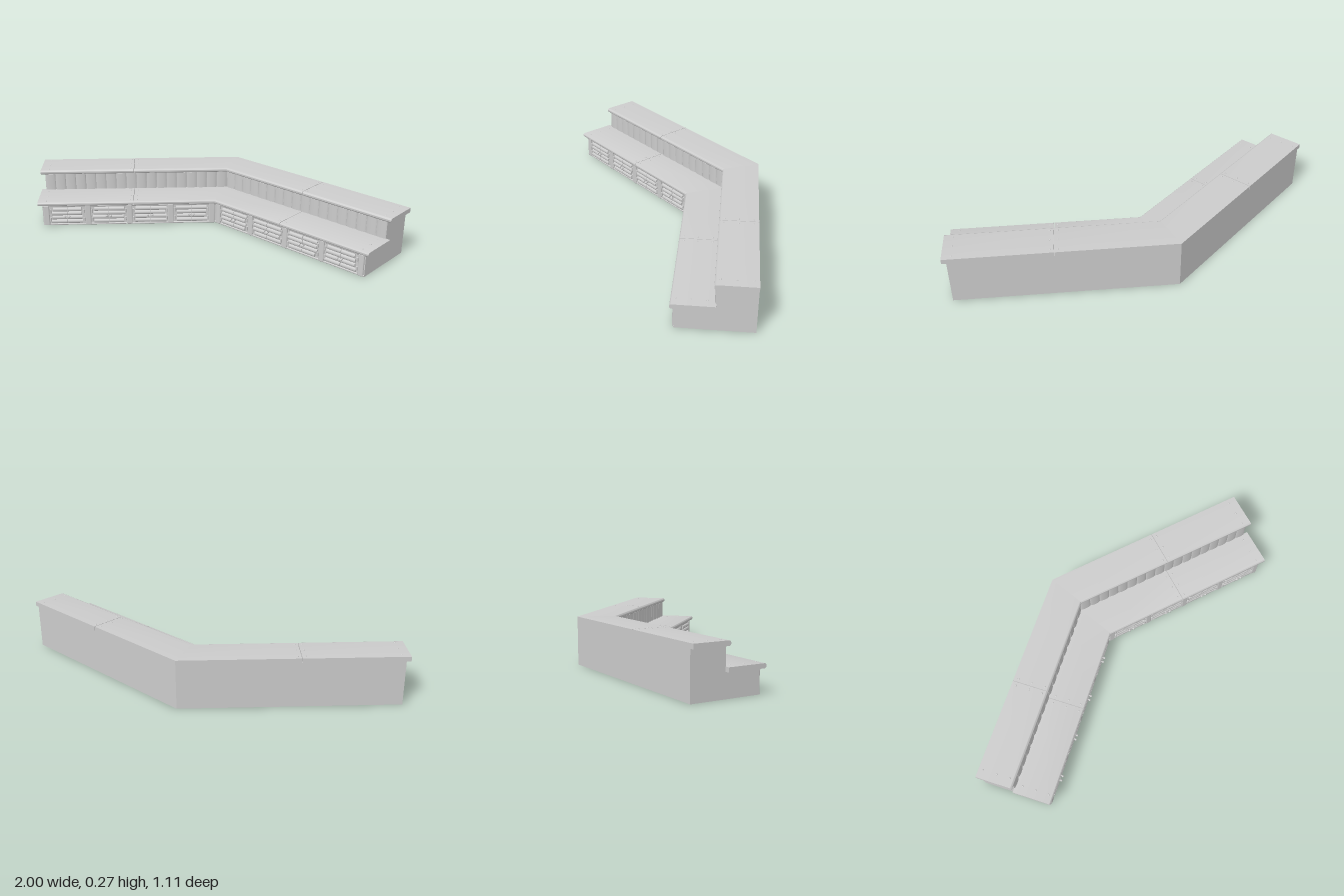
import * as THREE from 'three';
import { toCreasedNormals } from 'three/addons/utils/BufferGeometryUtils.js';
import { RoundedBoxGeometry } from 'three/addons/geometries/RoundedBoxGeometry.js';

const MITER = Math.tan(Math.PI / 8); // two wings meet at 135 degrees
const WING_LENGTH = 1.172, BODY_LENGTH = 1.148, SEAM = 0.627;
const mat = new THREE.MeshStandardMaterial({ color: 0xcccccc });

function seeded(seed) {
  return () => (seed = (seed * 16807) % 2147483647) / 2147483647;
}

// Sweeps a (depth, height) section along a wing; a null start is cut to the corner miter
function sweep(shape, sign, start, end) {
  const geo = new THREE.ExtrudeGeometry(shape, { depth: 1, bevelEnabled: false, curveSegments: 5 });
  const p = geo.attributes.position;
  for (let i = 0; i < p.count; i++) {
    const d = p.getX(i), y = p.getY(i);
    const t = sign > 0 ? 1 - p.getZ(i) : p.getZ(i);
    const a = start === null ? d * MITER : start;
    p.setXYZ(i, sign * (a + (end - a) * t), y, d);
  }
  return toCreasedNormals(geo, 0.7);
}

// Slab section with a rounded front edge
function slabShape(back, front, bottom, top) {
  const r = (top - bottom) * 0.45, s = new THREE.Shape();
  s.moveTo(back, bottom);
  s.lineTo(front - r, bottom);
  s.absarc(front - r, bottom + r, r, -Math.PI / 2, 0, false);
  s.absarc(front - r, top - r, r, 0, Math.PI / 2, false);
  s.lineTo(back, top);
  s.closePath();
  return s;
}

function bodyShape() {
  const pts = [[0, 0], [0.374, 0], [0.374, 0.125], [0.188, 0.125], [0.188, 0.245], [0, 0.245]];
  return new THREE.Shape(pts.map(([d, y]) => new THREE.Vector2(d, y)));
}

const round = new THREE.CylinderGeometry(1, 1, 1, 14);
const log = round.clone().rotateZ(Math.PI / 2);
const ball = new THREE.SphereGeometry(1, 12, 8);

function add(parent, name, geo, x, y, z, sx = 1, sy = 1, sz = 1) {
  const m = new THREE.Mesh(geo, mat);
  m.name = name;
  m.position.set(x, y, z);
  m.scale.set(sx, sy, sz);
  parent.add(m);
  return m;
}

// Pair of log-fronted doors with hinges and knobs, centred on x = 0
function createCabinet(rand) {
  const g = new THREE.Group();
  g.name = 'cabinetDoors';
  for (const side of [-1, 1]) {
    for (let i = 0; i < 4; i++) {
      const len = 0.079 + rand() * 0.014;
      add(g, 'doorLog', log, side * (0.0015 + len / 2), 0.024 + i * 0.0245, 0.375,
        len, 0.0121, 0.009 + rand() * 0.002);
    }
    for (const y of [0.036, 0.086])
      add(g, 'hinge', round, side * 0.096, y, 0.379, 0.005, 0.022, 0.006);
    add(g, 'knobStem', log, side * 0.012, 0.061, 0.388, 0.005, 0.003, 0.008);
    add(g, 'knob', ball, side * 0.012, 0.061, 0.396, 0.0065, 0.0065, 0.0065);
  }
  return g;
}

function createWing(sign, seed) {
  const wing = new THREE.Group();
  const rand = seeded(seed);
  const gap = 0.0015;

  add(wing, 'counterBody', sweep(bodyShape(), sign, null, BODY_LENGTH), 0, 0, 0);

  // Two counter levels, each split at the seam
  const levels = [
    ['upperCounter', slabShape(0, 0.198, 0.243, 0.268), [0.025, 0.1, 0.172], 0.268],
    ['lowerCounter', slabShape(0.186, 0.395, 0.124, 0.148), [0.225, 0.3, 0.37], 0.148],
  ];
  for (const [name, shape, depths, top] of levels) {
    add(wing, name, sweep(shape, sign, null, SEAM - gap), 0, 0, 0);
    add(wing, name, sweep(shape, sign, SEAM + gap, WING_LENGTH), 0, 0, 0);
    for (const s of [SEAM - 0.02, SEAM + 0.02, 1.125])
      for (const d of depths)
        add(wing, 'nail', ball, sign * s, top, d, 0.005, 0.003, 0.005);
  }

  // Upright planks on the upper wall
  const n = 18, first = 0.08, step = (BODY_LENGTH - first) / n;
  for (let i = 0; i < n; i++)
    add(wing, 'wallPlank', round, sign * (first + step * (i + 0.5)), 0.195, 0.187,
      step * 0.5, 0.098, 0.006 + rand() * 0.002);

  // Cabinets with posts between them
  for (let i = 0; i < 4; i++) {
    const cab = createCabinet(rand);
    cab.position.x = sign * (0.297 + i * 0.237);
    wing.add(cab);
  }
  const post = new RoundedBoxGeometry(0.032, 0.122, 0.02, 2, 0.005);
  for (let i = 0; i < 5; i++)
    add(wing, 'post', post, sign * Math.min(0.1785 + i * 0.237, 1.131), 0.062, 0.373);

  // Base and top rails
  const rail = (y0, y1) => sweep(slabShape(0.37, 0.379, y0, y1), sign, null, BODY_LENGTH);
  add(wing, 'baseRail', rail(0, 0.01), 0, 0, 0);
  add(wing, 'topRail', rail(0.112, 0.124), 0, 0, 0);
  return wing;
}

export function createModel() {
  const model = new THREE.Group();
  model.name = 'corneredCounter';
  const leftWing = createWing(1, 11);
  leftWing.name = 'leftWing';
  const rightWing = createWing(-1, 29);
  rightWing.name = 'rightWing';
  rightWing.rotation.y = Math.PI / 4;
  for (const w of [leftWing, rightWing]) {
    w.position.set(-0.172, 0, -0.554);
    model.add(w);
  }
  return model;
}
